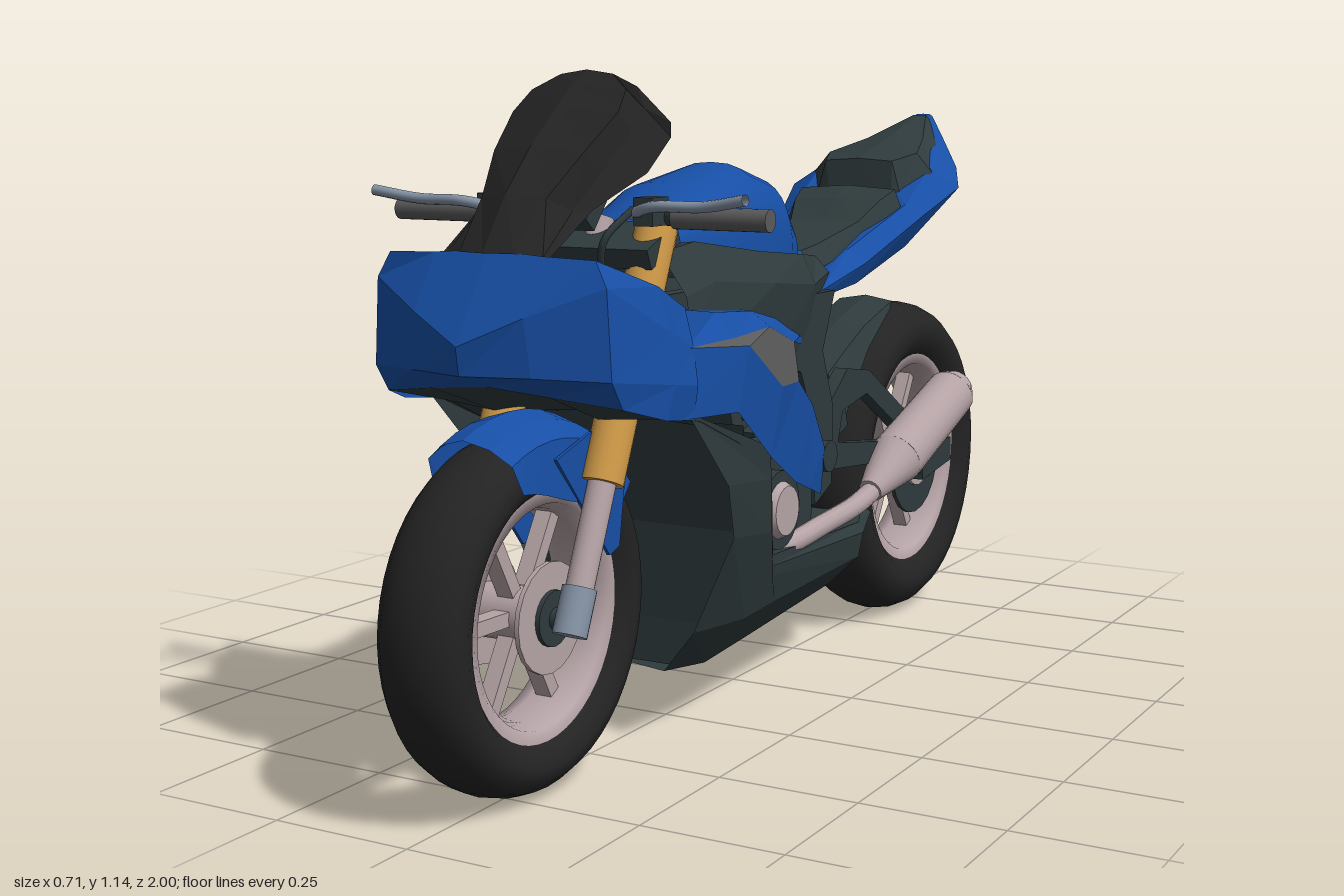
import * as THREE from 'three';

const BLUE = 0x174fa6, DARK = 0x2f3b3d, BLACK = 0x232323, STEEL = 0xb5a3a6,
  GOLD = 0xd09a48, ALLOY = 0x8492a4, GREY = 0x5a5a5a;
const V = (p) => new THREE.Vector3(...p);
const flip = ([x, y, z]) => [-x, y, z];

export function createModel() {
  const root = new THREE.Group();
  const add = (name, color, geo, flat = false, parent = root) => {
    const mesh = new THREE.Mesh(geo, new THREE.MeshStandardMaterial({ color, flatShading: flat, side: THREE.DoubleSide }));
    mesh.name = name;
    parent.add(mesh);
    return mesh;
  };
  // skin through rows of points
  const skin = (name, color, rows, flat = true) => {
    const n = rows[0].length, index = [];
    for (let i = 0; i < rows.length - 1; i++)
      for (let j = 0; j < n - 1; j++) {
        const a = i * n + j, b = a + n;
        index.push(a, a + 1, b, b, a + 1, b + 1);
      }
    const geo = new THREE.BufferGeometry();
    geo.setAttribute('position', new THREE.Float32BufferAttribute(rows.flat(2), 3));
    geo.setIndex(index);
    geo.computeVertexNormals();
    return add(name, color, geo, flat);
  };
  // skin through half rows that start at x = 0, completed by their mirror image
  const shell = (name, color, rows, flat) =>
    skin(name, color, rows.map((r) => [...r.slice(1).map(flip).reverse(), ...r]), flat);
  // half rows given as [z, [x, y], [x, y], ...]
  const sections = (name, color, list, flat) =>
    shell(name, color, list.map(([z, ...p]) => p.map(([x, y]) => [x, y, z])), flat);
  const both = (fn) => [1, -1].forEach(fn);
  const box = (name, color, [w, h, d], p, rx = 0) => {
    const m = add(name, color, new THREE.BoxGeometry(w, h, d), true);
    m.position.set(...p);
    m.rotation.x = rx;
  };
  const rod = (name, color, a, b, r1, r2 = r1, parent = root) => {
    const d = V(b).sub(V(a));
    const m = add(name, color, new THREE.CylinderGeometry(r2, r1, d.length(), 20), false, parent);
    m.position.copy(V(a).add(V(b)).multiplyScalar(0.5));
    m.quaternion.setFromUnitVectors(new THREE.Vector3(0, 1, 0), d.normalize());
  };
  const tube = (name, color, pts, r) =>
    add(name, color, new THREE.TubeGeometry(new THREE.CatmullRomCurve3(pts.map(V)), 40, r, 10));
  // flat plate from a side outline of [z, y] points
  const plate = (name, color, pts, x, t, hole) => {
    const toV2 = (l) => l.map((p) => new THREE.Vector2(...p));
    const s = new THREE.Shape(toV2(pts));
    if (hole) s.holes.push(new THREE.Path(toV2(hole)));
    const g = new THREE.ExtrudeGeometry(s, { depth: t, bevelEnabled: false });
    g.rotateY(-Math.PI / 2).translate(x + t / 2, 0, 0);
    add(name, color, g, true);
  };

  // wheels
  const wheel = (name, [x, y, z], R, rim, w, discR, discColor) => {
    const g = new THREE.Group();
    g.name = name;
    g.position.set(x, y, z);
    root.add(g);
    const ring = (part, color, pts) =>
      add(part, color, new THREE.LatheGeometry(pts.map((p) => new THREE.Vector2(...p)), 48).rotateZ(Math.PI / 2), false, g);
    const d = R - rim;
    const side = [[rim, w * 0.7], [rim + d * 0.15, w * 0.88], [rim + d * 0.4, w], [rim + d * 0.65, w * 0.93],
      [rim + d * 0.85, w * 0.68], [rim + d * 0.96, w * 0.36]];
    ring('tyre', BLACK, [...side, [R, 0], ...side.map(([r, h]) => [r, -h]).reverse()]);
    ring('rim', STEEL, [[rim + 0.004, w * 0.72], [rim - 0.02, w * 0.68], [rim - 0.03, w * 0.3], [rim - 0.03, -w * 0.3],
      [rim - 0.02, -w * 0.68], [rim + 0.004, -w * 0.72]]);
    for (let i = 0; i < 6; i++) {
      const spoke = add('spoke', STEEL, new THREE.BoxGeometry(0.03, rim - 0.03, 0.024).translate(0, rim / 2, 0), true, g);
      spoke.rotation.x = (i * Math.PI) / 3 + 0.5;
    }
    rod('hub', STEEL, [-w * 0.75, 0, 0], [w * 0.75, 0, 0], 0.045, 0.045, g);
    both((s) => {
      const e = s * w * 0.78;
      rod('brakeDisc', discColor, [e - 0.004, 0, 0], [e + 0.004, 0, 0], discR, discR, g);
      rod('hubCap', discColor === STEEL ? DARK : STEEL, [e, 0, 0], [e + s * 0.012, 0, 0], discR * 0.5, discR * 0.5, g);
    });
    rod('axle', DARK, [-0.115, 0, 0], [0.115, 0, 0], 0.018, 0.018, g);
  };
  wheel('frontWheel', [0, 0.295, 0.708], 0.291, 0.2, 0.078, 0.09, STEEL);
  wheel('rearWheel', [0.012, 0.335, -0.665], 0.332, 0.22, 0.084, 0.12, DARK);

  // front fork and controls
  both((s) => {
    const at = (y) => [s * 0.108, y, 0.72 - (y - 0.28) * 0.435];
    rod('forkTube', GOLD, at(0.5), at(0.893), 0.035);
    rod('forkLeg', STEEL, at(0.31), at(0.53), 0.023);
    rod('forkFoot', ALLOY, at(0.275), at(0.345), 0.028);
    rod('handlebar', DARK, [s * 0.1, 0.915, 0.48], [s * 0.19, 0.915, 0.525], 0.014);
    rod('grip', GREY, [s * 0.185, 0.915, 0.525], [s * 0.355, 0.915, 0.525], 0.018);
    tube('lever', ALLOY, [[s * 0.12, 0.92, 0.55], [s * 0.18, 0.935, 0.585], [s * 0.27, 0.937, 0.585], [s * 0.352, 0.95, 0.6]], 0.009);
    box('leverMount', DARK, [0.035, 0.045, 0.05], [s * 0.15, 0.925, 0.54]);
    tube('controlCable', DARK, [[s * 0.13, 0.93, 0.56], [s * 0.1, 0.88, 0.6], [s * 0.08, 0.81, 0.57], [s * 0.06, 0.74, 0.5]], 0.006);
  });
  box('topClamp', DARK, [0.27, 0.035, 0.1], [0, 0.865, 0.475], 0.4);
  box('lowerClamp', DARK, [0.27, 0.03, 0.08], [0, 0.7, 0.54], 0.4);
  rod('steeringStem', STEEL, [0, 0.7, 0.535], [0, 0.905, 0.45], 0.022);
  box('instruments', DARK, [0.14, 0.07, 0.03], [0, 0.93, 0.57], -0.7);
  rod('fluidReservoir', 0xa8a07a, [-0.115, 0.935, 0.55], [-0.115, 0.995, 0.55], 0.024);

  // front mudguard, swept around the wheel
  const guard = [];
  for (let i = 0; i <= 10; i++) {
    const a = 1.15 + i * 0.13, drop = 0.05 + 0.05 * Math.sin((i / 10) * Math.PI);
    guard.push([[0, 0.325], [0.045, 0.312], [0.078, 0.285], [0.084, 0.285 - drop]]
      .map(([x, r]) => [x, 0.295 + r * Math.sin(a), 0.71 + r * Math.cos(a)]));
  }
  shell('frontMudguard', BLUE, guard);
  both((s) => plate('mudguardSide', BLUE, [[0.72, 0.55], [0.62, 0.58], [0.52, 0.5], [0.54, 0.38], [0.57, 0.37]], s * 0.084, 0.006));

  // nose fairing
  shell('noseFairing', BLUE, [
    [[0, 0.85, 0.74], [0.08, 0.85, 0.73], [0.1, 0.825, 0.66], [0.115, 0.8, 0.58], [0.125, 0.78, 0.5]],
    [[0, 0.875, 0.77], [0.1, 0.868, 0.77], [0.19, 0.865, 0.765], [0.235, 0.82, 0.66], [0.235, 0.78, 0.58]],
    [[0, 0.735, 0.857], [0.1, 0.78, 0.825], [0.212, 0.825, 0.77], [0.25, 0.75, 0.65], [0.25, 0.72, 0.58]],
    [[0, 0.69, 0.85], [0.11, 0.69, 0.82], [0.22, 0.685, 0.77], [0.258, 0.67, 0.65], [0.258, 0.66, 0.58]],
    [[0, 0.665, 0.78], [0.11, 0.655, 0.77], [0.22, 0.64, 0.74], [0.25, 0.615, 0.66], [0.25, 0.605, 0.58]]]);
  shell('noseFloor', DARK, [
    [[0, 0.665, 0.78], [0.11, 0.655, 0.77], [0.22, 0.64, 0.74], [0.25, 0.61, 0.6]],
    [[0, 0.63, 0.62], [0.1, 0.6, 0.62], [0.2, 0.605, 0.6], [0.25, 0.6, 0.56]],
    [[0, 0.58, 0.4], [0.1, 0.57, 0.4], [0.2, 0.56, 0.4], [0.25, 0.54, 0.42]]]);

  // side fairings: cockpit edge, upper strip, vent, lower lobe
  const stations = [
    [[0.13, 0.79, 0.6], [0.235, 0.78, 0.6], [0.25, 0.72, 0.6], [0.25, 0.72, 0.6], [0.25, 0.61, 0.62]],
    [[0.14, 0.76, 0.45], [0.215, 0.76, 0.45], [0.25, 0.72, 0.45], [0.263, 0.705, 0.42], [0.258, 0.6, 0.45]],
    [[0.14, 0.745, 0.28], [0.19, 0.745, 0.28], [0.225, 0.72, 0.28], [0.25, 0.62, 0.28], [0.24, 0.5, 0.3]],
    [[0.13, 0.715, 0.13], [0.16, 0.715, 0.13], [0.19, 0.675, 0.12], [0.215, 0.61, 0.15], [0.21, 0.43, 0.15]],
    [[0.12, 0.67, 0], [0.14, 0.67, 0], [0.14, 0.655, 0], [0.182, 0.55, 0.03], [0.175, 0.395, 0.03]],
    [[0.12, 0.66, -0.03], [0.13, 0.66, -0.03], [0.13, 0.655, -0.03], [0.15, 0.45, -0.085], [0.14, 0.36, -0.09]]];
  const bands = [['cockpitEdge', BLUE, 5], ['upperSideFairing', BLUE, 6], ['sideVent', GREY, 4], ['lowerSideFairing', BLUE, 6]];
  both((s) => bands.forEach(([name, color, count], k) =>
    skin(name, color, stations.slice(0, count).map((r) => r.slice(k, k + 2).map((p) => (s > 0 ? p : flip(p)))))));

  // windscreen with stepped outer edges
  shell('windscreen', BLACK, [
    [[0, 0.87, 0.785], [0.05, 0.87, 0.775], [0.09, 0.865, 0.755], [0.1, 0.865, 0.75]],
    [[0, 0.96, 0.72], [0.06, 0.95, 0.7], [0.085, 0.93, 0.665], [0.105, 0.93, 0.64]],
    [[0, 1.03, 0.65], [0.085, 1.02, 0.63], [0.1, 0.99, 0.6], [0.147, 0.985, 0.545]],
    [[0, 1.09, 0.575], [0.1, 1.08, 0.555], [0.112, 1.05, 0.535], [0.158, 1.04, 0.49]],
    [[0, 1.125, 0.53], [0.09, 1.115, 0.515], [0.115, 1.085, 0.5], [0.157, 1.063, 0.488]],
    [[0, 1.147, 0.49], [0.05, 1.14, 0.49], [0.095, 1.12, 0.49], [0.114, 1.086, 0.488]]]);

  // belly pan and radiator
  shell('bellyPan', DARK, [
    [[0, 0.13, 0.37], [0.08, 0.13, 0.39], [0.15, 0.21, 0.41], [0.225, 0.38, 0.405], [0.245, 0.48, 0.46], [0.25, 0.62, 0.6]],
    [[0, 0.11, 0.25], [0.08, 0.11, 0.25], [0.16, 0.2, 0.25], [0.215, 0.36, 0.25], [0.23, 0.46, 0.28], [0.236, 0.52, 0.3]],
    [[0, 0.12, 0.1], [0.08, 0.12, 0.1], [0.15, 0.2, 0.12], [0.17, 0.26, 0.16], [0.175, 0.28, 0.18], [0.175, 0.3, 0.19]],
    [[0, 0.14, -0.27], [0.07, 0.14, -0.27], [0.13, 0.2, -0.28], [0.14, 0.25, -0.28], [0.13, 0.27, -0.28], [0, 0.27, -0.28]],
    [[0, 0.22, -0.38], [0.05, 0.22, -0.38], [0.09, 0.24, -0.39], [0.1, 0.265, -0.4], [0.08, 0.28, -0.4], [0, 0.28, -0.4]]]);
  shell('radiator', DARK, [[0.08, 0.13, 0.35], [0.15, 0.21, 0.35], [0.22, 0.38, 0.36], [0.235, 0.48, 0.38], [0.24, 0.57, 0.4]]
    .map(([x, y, z]) => [[0, y, z], [x, y, z]]));

  // engine
  box('crankcase', DARK, [0.28, 0.2, 0.34], [0, 0.36, 0.12]);
  box('cylinderBlock', DARK, [0.24, 0.24, 0.2], [0, 0.55, 0.12], 0.3);
  for (let i = 0; i < 4; i++) box('coolingFin', DARK, [0.29, 0.01, 0.18], [0, 0.48 + i * 0.03, 0.1], 0.3);
  both((s) => {
    rod('engineCover', DARK, [s * 0.12, 0.37, 0.12], [s * 0.165, 0.37, 0.12], 0.072);
    rod('engineCap', STEEL, [s * 0.16, 0.37, 0.12], [s * 0.178, 0.37, 0.12], 0.055, 0.045);
  });

  // tank, rounded sections
  sections('tank', BLUE, [[0.4, 0.875, 0.07, 0.86], [0.37, 0.905, 0.1, 0.85], [0.25, 0.957, 0.127, 0.835], [0.08, 0.986, 0.125, 0.815],
    [-0.05, 0.955, 0.1, 0.8], [-0.13, 0.885, 0.07, 0.795], [-0.18, 0.815, 0.035, 0.79]].map(([z, top, w, low]) => {
    const arc = [];
    for (let i = 0; i <= 8; i++) {
      const a = (i / 8) * Math.PI / 2;
      arc.push([w * Math.sin(a) ** 0.8, low + (top - low) * Math.max(0, Math.cos(a)) ** 0.8]);
    }
    return [z, ...arc];
  }), false);
  sections('tankSurround', DARK, [
    [0.43, [0, 0.84], [0.1, 0.85], [0.15, 0.78], [0.16, 0.72]],
    [0.36, [0, 0.85], [0.125, 0.865], [0.165, 0.8], [0.175, 0.7]],
    [0.15, [0, 0.83], [0.135, 0.835], [0.17, 0.78], [0.155, 0.62]],
    [-0.05, [0, 0.81], [0.12, 0.815], [0.145, 0.76], [0.125, 0.64]],
    [-0.2, [0, 0.79], [0.07, 0.8], [0.1, 0.77], [0.09, 0.7]]]);

  // frame, swingarm and foot pegs
  both((s) => {
    plate('frameSpar', DARK, [[0.2, 0.74], [-0.16, 0.74], [-0.11, 0.63], [-0.155, 0.52], [-0.15, 0.37], [-0.08, 0.34], [-0.07, 0.5], [-0.02, 0.6], [0.15, 0.66]], s * 0.115, 0.035);
    plate('swingarm', DARK, [[-0.08, 0.46], [-0.16, 0.52], [-0.24, 0.58], [-0.34, 0.565], [-0.5, 0.47], [-0.74, 0.37], [-0.74, 0.325], [-0.64, 0.3], [-0.4, 0.37], [-0.09, 0.4]],
      s * 0.108, 0.028, [[-0.22, 0.5], [-0.33, 0.52], [-0.52, 0.41], [-0.42, 0.41], [-0.2, 0.44]]);
    rod('footPeg', DARK, [s * 0.12, 0.43, -0.11], [s * 0.15, 0.43, -0.11], 0.03);
    plate('axleBlock', DARK, [[-0.6, 0.37], [-0.6, 0.3], [-0.75, 0.32], [-0.75, 0.37]], s * 0.112, 0.03);
  });
  box('swingarmBridge', DARK, [0.2, 0.1, 0.05], [0, 0.5, -0.25], 0.3);
  rod('swingarmPivot', DARK, [-0.13, 0.43, -0.11], [0.13, 0.43, -0.11], 0.035);
  shell('rearMudguard', DARK, [[0.57, -0.28], [0.61, -0.36], [0.65, -0.45], [0.688, -0.58]].map(([y, z], i) =>
    [[0, y, z], [0.06, y - 0.01, z], [0.098 - i * 0.012, y - 0.11 + i * 0.028, z + 0.01]]));

  // rear shock
  const coil = [];
  for (let i = 0; i <= 60; i++) {
    const a = (i / 60) * Math.PI * 10;
    coil.push([0.046 * Math.cos(a), 0.54 + i * 0.0021, -0.22 + 0.046 * Math.sin(a) + i * 0.0003]);
  }
  add('shockSpring', STEEL, new THREE.TubeGeometry(new THREE.CatmullRomCurve3(coil.map(V)), 200, 0.01, 6));
  rod('shockBody', STEEL, [0, 0.51, -0.22], [0, 0.76, -0.2], 0.026);

  // tail, seats
  sections('tailFairing', BLUE, [
    [-0.14, [0, 0.745], [0.09, 0.745], [0.115, 0.74], [0.11, 0.725], [0, 0.725]],
    [-0.3, [0, 0.79], [0.09, 0.805], [0.13, 0.78], [0.11, 0.74], [0, 0.745]],
    [-0.5, [0, 0.87], [0.125, 0.885], [0.16, 0.86], [0.125, 0.8], [0, 0.81]],
    [-0.62, [0, 0.955], [0.125, 0.955], [0.19, 0.915], [0.13, 0.855], [0, 0.855]],
    [-0.69, [0, 0.99], [0.1, 0.985], [0.155, 0.955], [0.095, 0.895], [0, 0.9]],
    [-0.78, [0, 1.02], [0.06, 1.015], [0.09, 1.005], [0.055, 0.95], [0, 0.955]],
    [-0.87, [0, 1.063], [0.015, 1.062], [0.022, 1.058], [0.015, 1.04], [0, 1.04]]]);
  sections('riderSeat', DARK, [
    [-0.18, [0, 0.81], [0.05, 0.81], [0.07, 0.77]], [-0.23, [0, 0.82], [0.06, 0.82], [0.08, 0.78]],
    [-0.38, [0, 0.855], [0.075, 0.855], [0.09, 0.82]], [-0.44, [0, 0.9], [0.095, 0.895], [0.115, 0.845]],
    [-0.49, [0, 0.922], [0.105, 0.915], [0.125, 0.865]], [-0.5, [0, 0.87], [0.1, 0.87], [0.12, 0.86]]]);
  sections('passengerSeat', DARK, [
    [-0.53, [0, 0.88], [0.06, 0.88], [0.08, 0.88]], [-0.54, [0, 0.975], [0.075, 0.97], [0.095, 0.9]],
    [-0.61, [0, 0.995], [0.1, 0.985], [0.135, 0.945]], [-0.72, [0, 1.025], [0.065, 1.012], [0.1, 0.985]],
    [-0.85, [0, 1.06], [0.015, 1.06], [0.025, 1.05]]]);

  // exhaust on the left side
  tube('exhaustPipe', STEEL, [[0.08, 0.27, 0.2], [0.14, 0.29, 0.07], [0.15, 0.305, -0.08], [0.145, 0.315, -0.24], [0.146, 0.335, -0.33]], 0.02);
  rod('mufflerCone', STEEL, [0.145, 0.33, -0.3], [0.15, 0.378, -0.41], 0.024, 0.055);
  rod('muffler', STEEL, [0.15, 0.378, -0.41], [0.168, 0.482, -0.645], 0.055, 0.052);
  rod('mufflerTip', STEEL, [0.168, 0.482, -0.645], [0.17, 0.495, -0.675], 0.052, 0.036);
  rod('mufflerOutlet', DARK, [0.169, 0.488, -0.66], [0.17, 0.496, -0.677], 0.024);
  return root;
}
